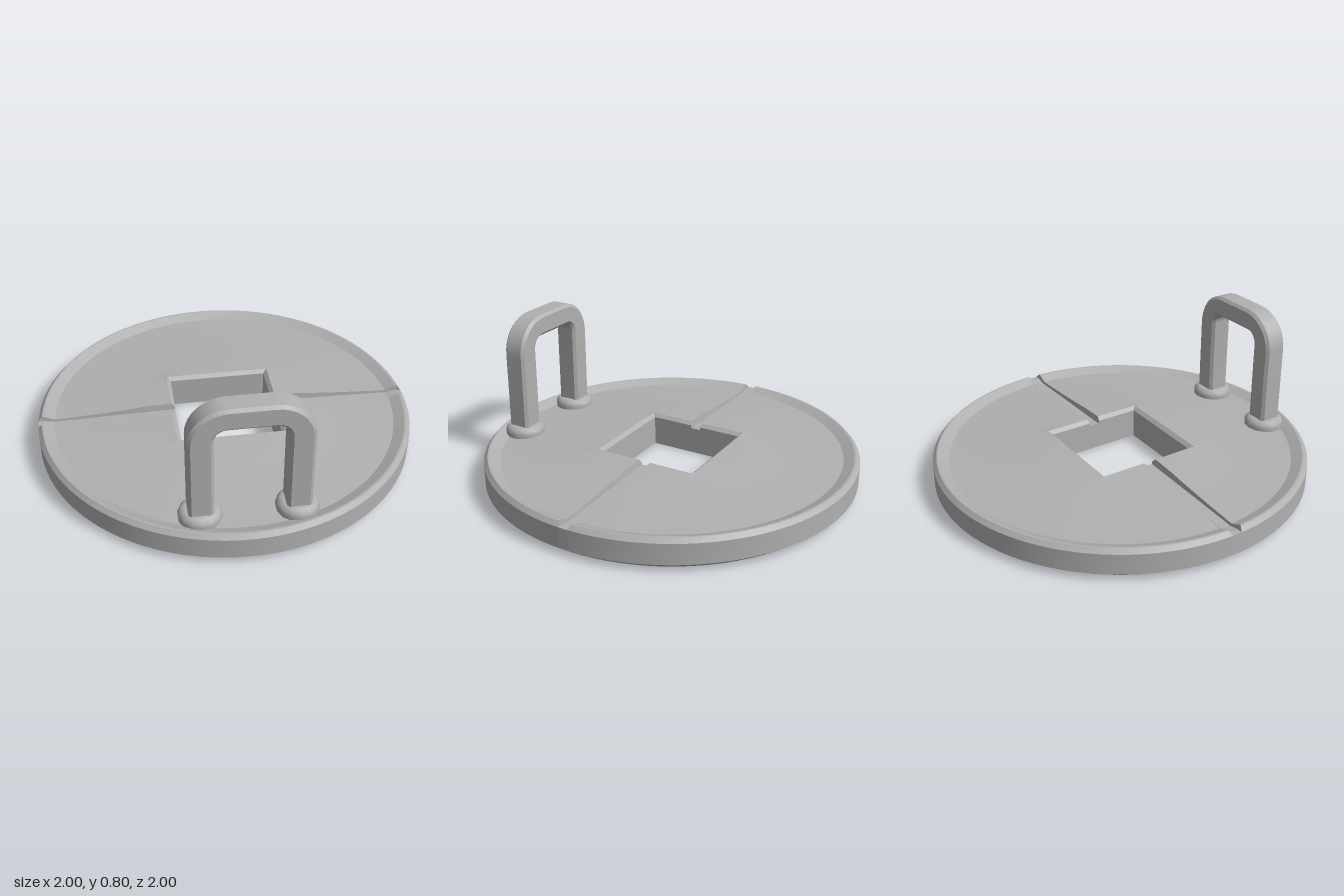
import * as THREE from 'three';
import { toCreasedNormals } from 'three/addons/utils/BufferGeometryUtils.js';

const STEPS = 48;

// Closed profile of the plate: [radius, height, square outline?, groove half width]
const PROFILE = [
  [0.265, 0, true, 0.025],
  [0.6, 0, false, 0.025],
  [0.955, 0, false, 0.025],
  [1, 0.035, false, 0.025],
  [1, 0.145, false, 0.025],
  [0.98, 0.167, false, 0.035],
  [0.97, 0.167, false, 0.035],
  [0.915, 0.142, false, 0.035],
  [0.8, 0.147, false, 0.035],
  [0.65, 0.156, false, 0.035],
  [0.5, 0.167, false, 0.035],
  [0.43, 0.174, false, 0.035],
  [0.285, 0.181, true, 0.035],
  [0.265, 0.163, true, 0.03],
  [0.265, 0.14, true, 0.025],
];

// Half of the plate: the profile swept through 180 degrees, from round rim to square hole
function halfPlateGeometry() {
  const positions = [];
  const indices = [];
  const n = PROFILE.length;
  for (let j = 0; j <= STEPS; j++) {
    const angle = (Math.PI * j) / STEPS;
    const c = Math.cos(angle);
    const s = Math.sin(angle);
    for (const [r, y, square, groove] of PROFILE) {
      const d = square ? r / Math.max(Math.abs(c), Math.abs(s)) : r;
      positions.push(d * c, y, Math.max(d * s, groove));
    }
  }
  for (let j = 0; j < STEPS; j++) {
    for (let i = 0; i < n; i++) {
      const k = (i + 1) % n;
      const a = j * n + i;
      const b = j * n + k;
      indices.push(a, b, a + n, b, b + n, a + n);
    }
  }
  // Walls of the groove
  const contour = PROFILE.map(([r, y]) => new THREE.Vector2(r, y));
  const last = STEPS * n;
  for (const [a, b, c] of THREE.ShapeUtils.triangulateShape(contour, [])) {
    indices.push(a, c, b, last + a, last + b, last + c);
  }
  const geometry = new THREE.BufferGeometry();
  geometry.setAttribute('position', new THREE.Float32BufferAttribute(positions, 3));
  geometry.setIndex(indices);
  return toCreasedNormals(geometry, 0.3);
}

// Strip of plate below the groove, from hole to rim
function grooveFloorGeometry() {
  const points = [
    [0.265, 0], [0.955, 0], [1, 0.035], [1, 0.145], [0.97, 0.145],
    [0.915, 0.134], [0.7, 0.139], [0.265, 0.147],
  ];
  const shape = new THREE.Shape(points.map(([x, y]) => new THREE.Vector2(x, y)));
  const geometry = new THREE.ExtrudeGeometry(shape, { depth: 0.052, bevelEnabled: false });
  return geometry.translate(0, 0, -0.026);
}

// Upright arch with bevelled edges
function handleGeometry() {
  const bevel = 0.015;
  const outer = 0.295 - bevel;
  const inner = 0.173 + bevel;
  const top = 0.8 - bevel;
  const under = 0.685 + bevel;
  const R = 0.175;
  const r = 0.075;
  const base = 0.13;
  const shape = new THREE.Shape();
  shape.moveTo(outer, base);
  shape.lineTo(outer, top - R);
  shape.absarc(outer - R, top - R, R, 0, Math.PI / 2, false);
  shape.lineTo(R - outer, top);
  shape.absarc(R - outer, top - R, R, Math.PI / 2, Math.PI, false);
  shape.lineTo(-outer, base);
  shape.lineTo(-inner, base);
  shape.lineTo(-inner, under - r);
  shape.absarc(r - inner, under - r, r, Math.PI, Math.PI / 2, true);
  shape.lineTo(inner - r, under);
  shape.absarc(inner - r, under - r, r, Math.PI / 2, 0, true);
  shape.lineTo(inner, base);
  const geometry = new THREE.ExtrudeGeometry(shape, {
    depth: 0.125 - 2 * bevel,
    bevelEnabled: true,
    bevelSize: bevel,
    bevelThickness: bevel,
    bevelSegments: 1,
    curveSegments: 5,
  });
  geometry.translate(0, 0, -0.0625 + bevel);
  return toCreasedNormals(geometry, 0.5);
}

// Rounded weld bead around a handle foot
function collarGeometry() {
  const points = [[0.105, 0.13], [0.108, 0.165], [0.102, 0.183], [0.088, 0.197], [0.07, 0.202], [0, 0.202]];
  return new THREE.LatheGeometry(points.map(([x, y]) => new THREE.Vector2(x, y)), 14);
}

export function createModel() {
  const group = new THREE.Group();
  const steel = new THREE.MeshStandardMaterial({ color: 0xb0b0b0 });
  steel.name = 'steel grey';

  const add = (name, geometry) => {
    const mesh = new THREE.Mesh(geometry, steel);
    mesh.name = name;
    group.add(mesh);
    return mesh;
  };

  // Plate in two mirrored halves with the groove between them
  const half = halfPlateGeometry();
  const floor = grooveFloorGeometry();
  for (const [side, turn] of [['front', 0], ['back', Math.PI]]) {
    add(side + 'HalfPlate', half).rotation.y = turn;
  }
  for (const [side, turn] of [['left', 0], ['right', Math.PI]]) {
    add(side + 'GrooveFloor', floor).rotation.y = turn;
  }

  // Handle and its collars near the front rim
  add('handle', handleGeometry()).position.z = 0.81;
  const collar = collarGeometry();
  for (const [side, x] of [['left', 0.235], ['right', -0.235]]) {
    add(side + 'Collar', collar).position.set(x, 0, 0.81);
  }
  return group;
}
